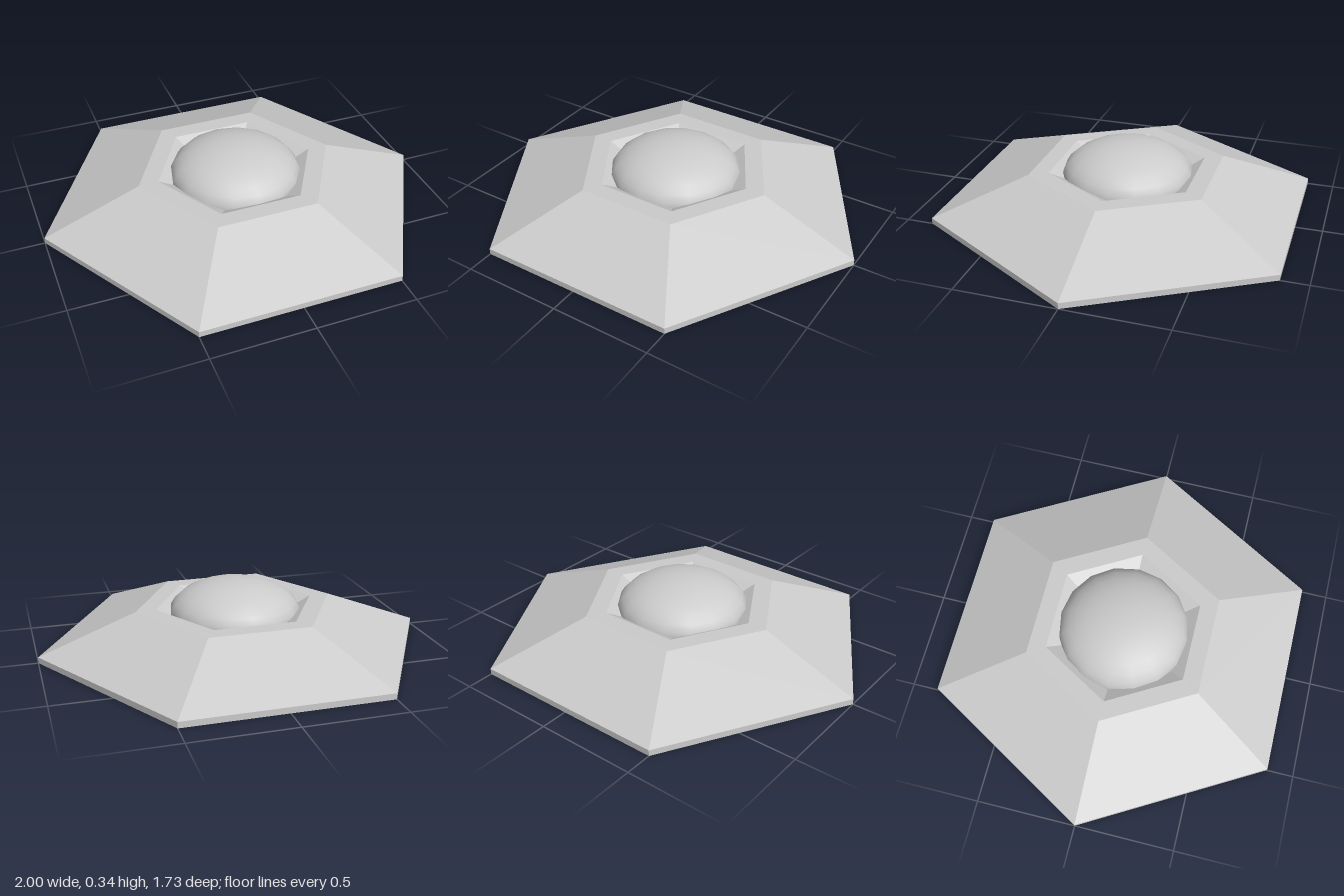
import * as THREE from 'three';

const flat = new THREE.MeshStandardMaterial({ color: 0xcccccc, flatShading: true });
const smooth = new THREE.MeshStandardMaterial({ color: 0xcccccc });

// Ring of the given [radius, height] profile, swept with corners on the x axis
function turned(name, profile, sides, material) {
  const points = profile.map(([r, y]) => new THREE.Vector2(r, y));
  const mesh = new THREE.Mesh(new THREE.LatheGeometry(points, sides, Math.PI / 2), material);
  mesh.name = name;
  return mesh;
}

export function createModel() {
  const group = new THREE.Group();
  group.name = 'hexagonalDomeBase';

  // Six-sided skirt: thin rim, sloping sides, flat top ring and sunken cup
  group.add(turned('hexagonalHousing', [
    [1, 0], [1, 0.03], [0.51, 0.217], [0.408, 0.217], [0.2, 0.112], [0, 0.112],
  ], 6, flat));

  // Hollow underside of the skirt
  group.add(turned('skirtUnderside', [[0.5, 0.2], [1, 0]], 6, smooth));

  // Cup bulging down into the hollow
  group.add(turned('cupUnderside', [[0, 0.08], [0.26, 0.08], [0.5, 0.2]], 6, smooth));

  // Flattened dome resting in the cup
  const dome = new THREE.Mesh(
    new THREE.SphereGeometry(1, 16, 8, 0, Math.PI * 2, 0, Math.PI / 2), smooth);
  dome.name = 'dome';
  dome.scale.set(0.335, 0.17, 0.335);
  dome.position.y = 0.17;
  group.add(dome);

  return group;
}
